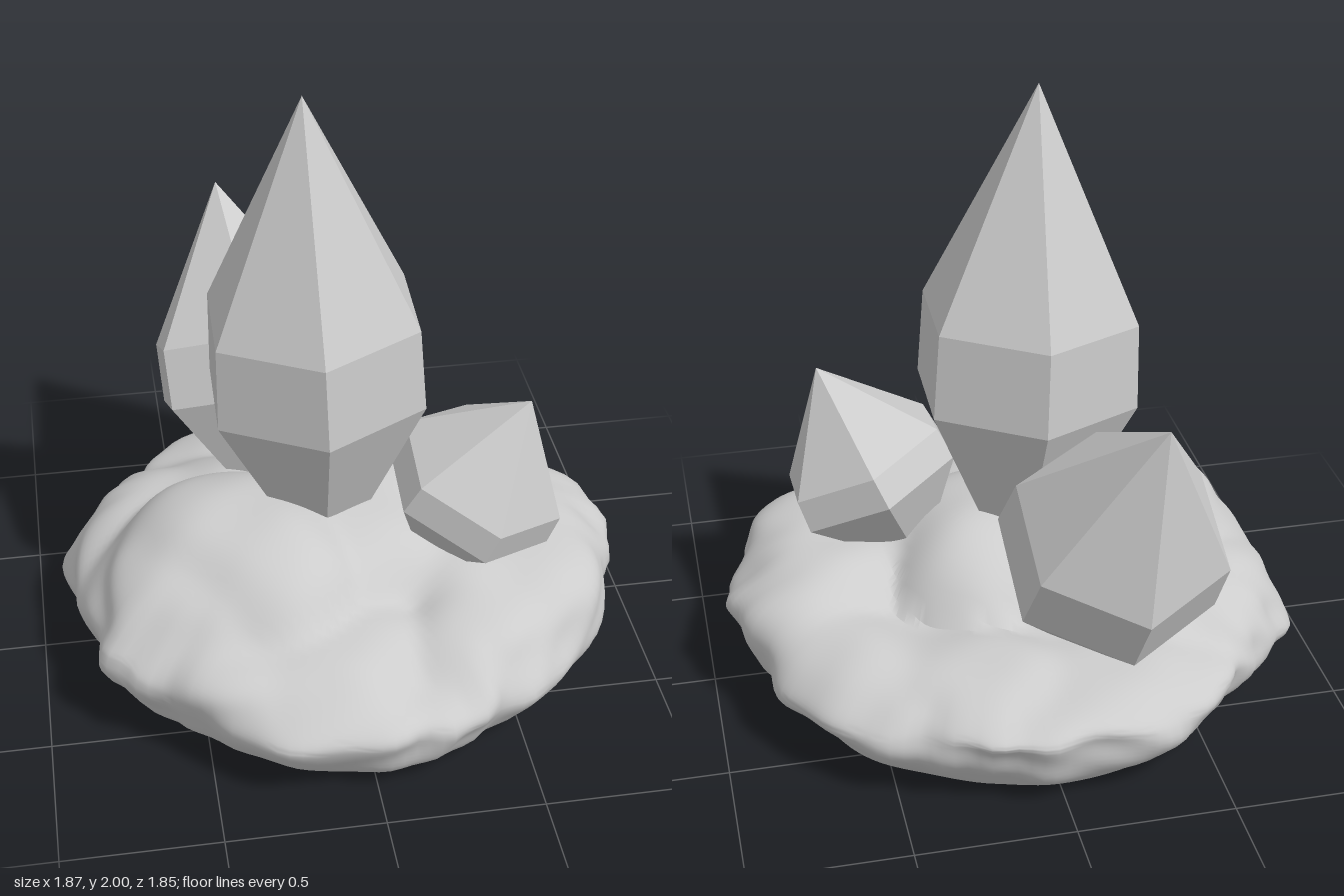
import * as THREE from 'three';
import { toCreasedNormals } from 'three/addons/utils/BufferGeometryUtils.js';

const grey = new THREE.MeshStandardMaterial({ color: 0xcccccc });
grey.name = 'stoneGrey';

// Six-sided crystal: tip, lower ring, upper ring and apex along a tilted axis
function crystal(name, tip, apex, radius, lower, upper, twist, widen = 1) {
  const from = new THREE.Vector3(...tip);
  const axis = new THREE.Vector3(...apex).sub(from);
  const len = axis.length();
  const profile = [[0, 0], [radius, lower * len], [radius * 0.965, upper * len], [0, len]];
  let geo = new THREE.LatheGeometry(profile.map(p => new THREE.Vector2(...p)), 6, twist);
  geo = geo.toNonIndexed();
  geo.scale(widen, 1, 1);
  geo.computeVertexNormals();
  const mesh = new THREE.Mesh(geo, grey);
  mesh.name = name;
  mesh.position.copy(from);
  mesh.quaternion.setFromUnitVectors(new THREE.Vector3(0, 1, 0), axis.normalize());
  return mesh;
}

// Rim radius and rim height every 15 degrees, turning from +x towards +z
const RIM_R = [0.92, 0.91, 0.92, 0.89, 0.88, 0.91, 0.92, 0.92, 0.89, 0.87, 0.92, 0.87,
  0.89, 0.94, 0.9, 0.87, 0.92, 0.93, 0.93, 0.91, 0.9, 0.92, 0.9, 0.9];
const RIM_Y = [0.28, 0.3, 0.28, 0.22, 0.2, 0.2, 0.22, 0.23, 0.23, 0.26, 0.31, 0.28,
  0.2, 0.14, 0.18, 0.21, 0.22, 0.24, 0.25, 0.25, 0.24, 0.22, 0.22, 0.25];

function around(table, a) {
  const t = (a / (Math.PI * 2)) * table.length;
  const i = Math.floor(t), f = t - i, s = f * f * (3 - 2 * f);
  return table[i % table.length] * (1 - s) + table[(i + 1) % table.length] * s;
}

// Overlapping flat-topped boulders: x, z, height
const BOULDERS = [[-0.32, 0.14, 0.63], [0.04, 0.07, 0.58], [0.68, 0.02, 0.48], [0.66, 0.3, 0.48],
  [0.45, 0.5, 0.45], [-0.08, 0.58, 0.41], [-0.52, 0.25, 0.54], [-0.64, -0.2, 0.43],
  [-0.3, -0.2, 0.45], [-0.2, -0.7, 0.35], [0.25, -0.55, 0.37], [0.64, -0.4, 0.39],
  [0.33, 0.2, 0.48], [-0.45, 0.58, 0.41]];

const ripple = (x, y, z) =>
  Math.sin(9 * x + 4 * z + 3) * Math.sin(8 * z - 5 * x + 7 * y) +
  0.5 * Math.sin(17 * x - 9 * y + 2) * Math.sin(19 * z + 11 * y);

function topHeight(x, z) {
  const wx = x + 0.04 * Math.sin(9 * z + 1), wz = z + 0.04 * Math.sin(8 * x);
  // Soft maximum of the boulders over a low floor
  let sum = Math.exp(70 * 0.33);
  for (const [bx, bz, h] of BOULDERS) {
    sum += Math.exp(70 * (h - 2.8 * Math.hypot(wx - bx, wz - bz) ** 3));
  }
  return Math.log(sum) / 70 + 0.008 * ripple(x, 0, z);
}

// Rock: rings run from the top centre, over the rim, to the flat underside
function rock() {
  const SEG = 144, TOP = 36, SIDE = 12;
  const rows = TOP + SIDE + 2;
  const pos = [], index = [];
  for (let i = 0; i < rows; i++) {
    for (let j = 0; j < SEG; j++) {
      const a = (j / SEG) * Math.PI * 2;
      const c = Math.cos(a), s = Math.sin(a);
      const R = around(RIM_R, a), rimY = around(RIM_Y, a);
      let f = 0, y = 0;
      if (i <= TOP) {
        f = Math.sin((i / TOP) * Math.PI / 2);
        const h = topHeight(R * f * c, R * f * s);
        y = rimY + (h - rimY) * Math.sqrt(Math.max(0, 1 - f ** 6));
      } else if (i <= TOP + SIDE) {
        const t = (i - TOP) / SIDE;
        f = 1 - 0.17 * t ** 2.2;
        y = rimY * (1 - t ** 1.3);
      }
      // Lumps and slanting ledges around the rim
      const edge = Math.max(0, (f - 0.75) / 0.25) * Math.min(1, y / 0.08);
      const ledge = Math.sin(26 * y + 2.5 * Math.sin(3 * a) + 2 * a);
      const r = R * f + edge * (0.016 * ripple(c, y * 2, s) + 0.012 * ledge
        + 0.008 * Math.sin(23 * a + 3 * Math.sin(5 * a) + 6 * y));
      pos.push(r * c, y, r * s);
      if (i < rows - 1) {
        const k = (j + 1) % SEG, p = i * SEG, q = p + SEG;
        index.push(p + j, p + k, q + j, p + k, q + k, q + j);
      }
    }
  }
  const geo = new THREE.BufferGeometry();
  geo.setAttribute('position', new THREE.Float32BufferAttribute(pos, 3));
  geo.setIndex(index);
  const mesh = new THREE.Mesh(toCreasedNormals(geo, 0.75), grey);
  mesh.name = 'rockBase';
  return mesh;
}

export function createModel() {
  const model = new THREE.Group();
  model.name = 'crystalCluster';
  model.add(
    rock(),
    crystal('tallCrystal', [-0.04, 0.2, 0.02], [-0.105, 2, 0.04], 0.357, 0.428, 0.586, -0.03, 1.06),
    crystal('backCrystal', [-0.14, 0.17, -0.27], [-0.285, 1.27, -0.855], 0.36, 0.42, 0.582, 0.05),
    crystal('smallCrystal', [0.275, 0.3, 0.1], [0.583, 1, 0.255], 0.305, 0.435, 0.575, 0.03),
  );
  return model;
}
